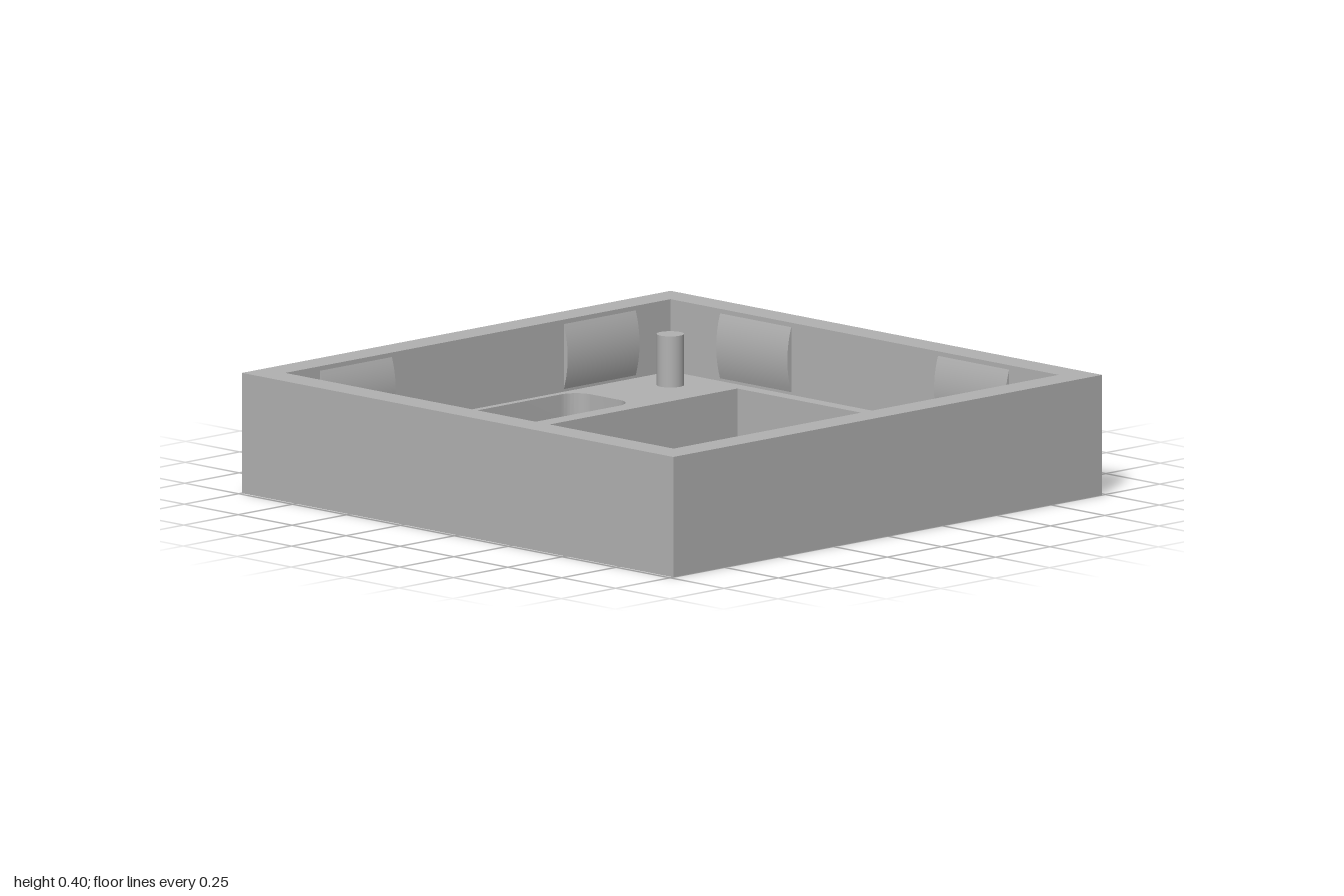
import * as THREE from 'three';
import { toCreasedNormals } from 'three/addons/utils/BufferGeometryUtils.js';

const grey = new THREE.MeshStandardMaterial({ color: 0xb2b2b2 });
grey.name = 'grey plastic';

const W = 0.985, D = 1, H = 0.4;          // outer half width, half depth, height
const IN_X = 0.885, IN_Z = 0.9;           // inner faces of the walls
const LEDGE = 0.05, FLOOR = 0.16;         // heights of the two inner levels
const OPEN_X = 0.835, BACK = -0.54, FRONT = 0.375, STEP = 0.605;

// Plan outlines are drawn with shape y = -z, then laid flat
function rect(x0, z0, x1, z1, r = 0, P = THREE.Shape) {
  const p = new P(), a = -z1, b = -z0;
  p.moveTo(x0 + r, a);
  p.lineTo(x1 - r, a);
  if (r) p.absarc(x1 - r, a + r, r, -Math.PI / 2, 0);
  p.lineTo(x1, b - r);
  if (r) p.absarc(x1 - r, b - r, r, 0, Math.PI / 2);
  p.lineTo(x0 + r, b);
  if (r) p.absarc(x0 + r, b - r, r, Math.PI / 2, Math.PI);
  p.lineTo(x0, a + r);
  if (r) p.absarc(x0 + r, a + r, r, Math.PI, Math.PI * 1.5);
  p.closePath();
  return p;
}

function slab(name, outline, holes, y0, y1) {
  outline.holes.push(...holes);
  let g = new THREE.ExtrudeGeometry(outline, { depth: y1 - y0, bevelEnabled: false, curveSegments: 12 });
  g.rotateX(-Math.PI / 2);
  g.translate(0, y0, 0);
  g = toCreasedNormals(g, 0.5);
  const m = new THREE.Mesh(g, grey);
  m.name = name;
  return m;
}

export function createModel() {
  const model = new THREE.Group();
  model.name = 'openTray';

  // Outer wall
  model.add(slab('outerWall', rect(-W, -D, W, D), [rect(-IN_X, -IN_Z, IN_X, IN_Z, 0, THREE.Path)], 0, H));

  // Thin base with the main opening
  model.add(slab('base', rect(-IN_X, -IN_Z, IN_X, IN_Z),
    [rect(-OPEN_X, BACK, OPEN_X, FRONT, 0, THREE.Path)], 0, LEDGE));

  // Raised floor: opening, lower ledge and front recess in one cut, plus the back pocket
  const px = 0.427, r = 0.12;
  const cut = new THREE.Path();
  cut.moveTo(-OPEN_X, -BACK);
  cut.lineTo(-OPEN_X, -STEP);
  cut.lineTo(-px, -STEP);
  cut.lineTo(-px, -IN_Z + r);
  cut.absarc(-px + r, -IN_Z + r, r, Math.PI, Math.PI * 1.5);
  cut.lineTo(px - r, -IN_Z);
  cut.absarc(px - r, -IN_Z + r, r, -Math.PI / 2, 0);
  cut.lineTo(px, -STEP);
  cut.lineTo(OPEN_X, -STEP);
  cut.lineTo(OPEN_X, -BACK);
  cut.closePath();
  const pocket = rect(-px, -0.875, px, -0.605, 0.07, THREE.Path);
  model.add(slab('raisedFloor', rect(-0.94, -0.95, 0.94, 0.95), [cut, pocket], LEDGE, FLOOR));

  // Locating posts
  const postGeo = new THREE.CylinderGeometry(0.045, 0.045, 0.17, 32);
  for (const x of [-0.723, 0.723]) for (const z of [-0.737, 0.737]) {
    const post = new THREE.Mesh(postGeo, grey);
    post.name = 'post';
    post.position.set(x, FLOOR + 0.085, z);
    model.add(post);
  }

  // Shallow curved grip pads on the inner walls
  const s = new THREE.Shape(), half = 0.108, bulge = 0.018, n = 14;
  s.moveTo(-0.01, -half);
  for (let i = 0; i <= n; i++) {
    const t = -1 + (2 * i) / n;
    s.lineTo(bulge * (1 - t * t), half * t);
  }
  s.lineTo(-0.01, half);
  s.closePath();
  let padGeo = new THREE.ExtrudeGeometry(s, { depth: 0.33, bevelEnabled: false });
  padGeo.translate(0, 0, -0.165);
  padGeo = toCreasedNormals(padGeo, 0.5);
  function pad(x, z, turn) {
    const m = new THREE.Mesh(padGeo, grey);
    m.name = 'gripPad';
    m.position.set(x, 0.277, z);
    m.rotation.y = turn;
    model.add(m);
  }
  for (const k of [-1, 1]) {
    pad(-IN_X, k * 0.505, 0);
    pad(IN_X, k * 0.505, Math.PI);
    pad(k * 0.56, -IN_Z, -Math.PI / 2);
    pad(k * 0.56, IN_Z, Math.PI / 2);
  }
  return model;
}
